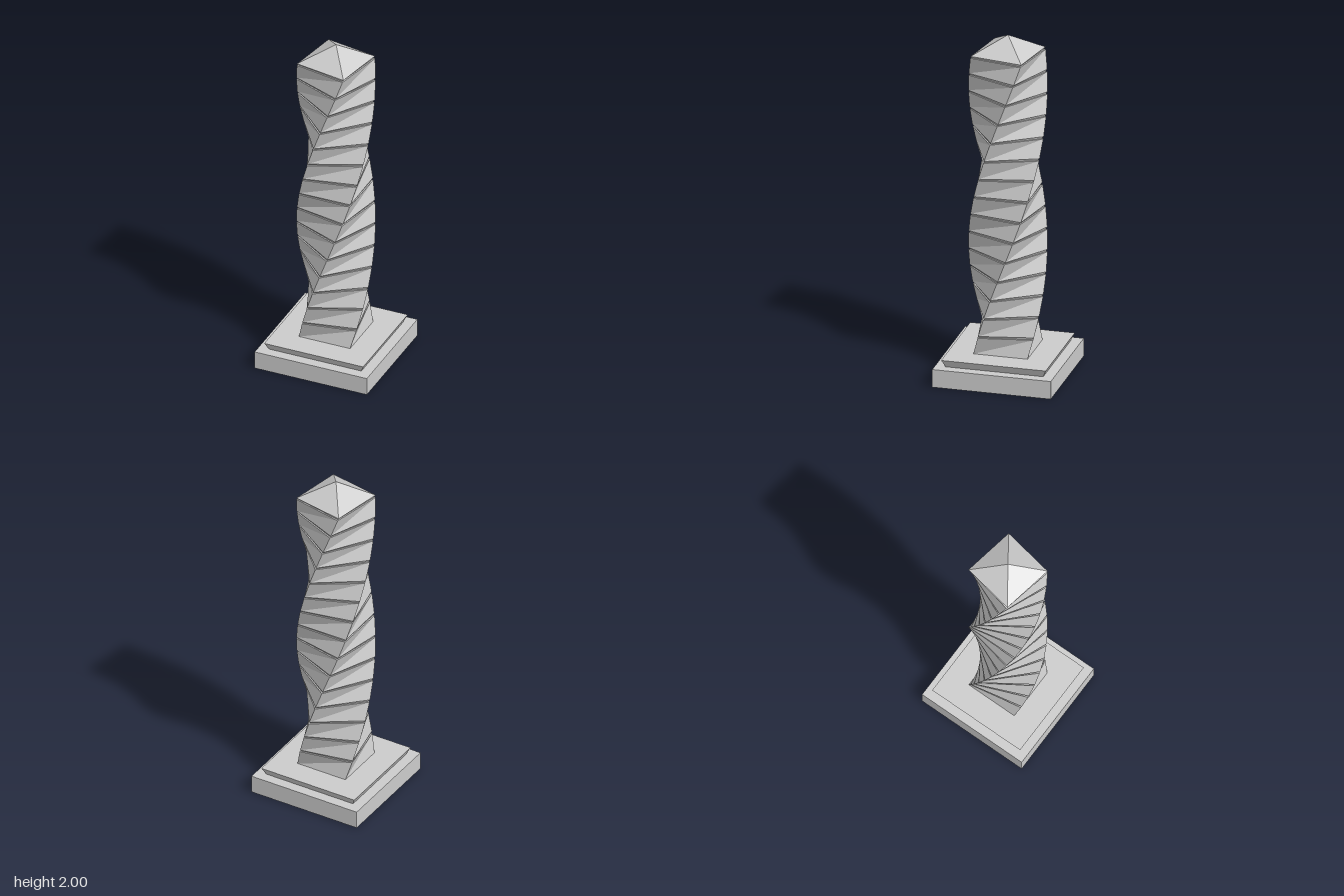
import * as THREE from 'three';

const GREY = new THREE.MeshStandardMaterial({ color: 0xcccccc, flatShading: true, side: THREE.DoubleSide });
const Y0 = 0.148, Y1 = 1.9;           // bottom and top of the twisted shaft
const TWIST = THREE.MathUtils.degToRad(170);
const STOREYS = 15, HALF = 0.155, GROOVE_HALF = 0.147, GROOVE = 0.013;

// Turn of the square section at a height
const twistAt = (y) => TWIST * THREE.MathUtils.clamp((y - Y0) / (Y1 - Y0), 0, 1);

// Open skin through square rings given as [half width, y]
function squareLoft(name, rings) {
  const pos = [], idx = [];
  for (const [half, y] of rings) {
    for (let k = 0; k < 4; k++) {
      const a = Math.PI / 4 + k * Math.PI / 2 + twistAt(y);
      const r = half * Math.SQRT2;
      pos.push(r * Math.sin(a), y, r * Math.cos(a));
    }
  }
  for (let i = 0; i < rings.length - 1; i++) {
    for (let k = 0; k < 4; k++) {
      const a = i * 4 + k, b = i * 4 + (k + 1) % 4, c = b + 4, d = a + 4;
      idx.push(a, b, c, a, c, d);
    }
  }
  const indexed = new THREE.BufferGeometry();
  indexed.setAttribute('position', new THREE.Float32BufferAttribute(pos, 3));
  indexed.setIndex(idx);
  const geo = indexed.toNonIndexed();
  geo.computeVertexNormals();
  const mesh = new THREE.Mesh(geo, GREY);
  mesh.name = name;
  return mesh;
}

export function createModel() {
  const group = new THREE.Group();
  group.name = 'twistedTower';

  // Hollow plinth, open underneath, with a flared upper step
  group.add(squareLoft('plinth', [[0.34, 0], [0.34, 0.105], [0.28, 0.105]]));
  group.add(squareLoft('plinthStep', [[0.28, 0.105], [0.3, Y0], [HALF, Y0]]));

  // Twisted shaft: each storey ends in a ledge and a thin groove
  const rings = [[HALF, Y0]];
  const step = (Y1 - Y0) / STOREYS;
  for (let i = 1; i <= STOREYS; i++) {
    const y = Y0 + i * step;
    rings.push([HALF, y - GROOVE], [GROOVE_HALF, y - GROOVE], [HALF, y]);
  }
  group.add(squareLoft('shaft', rings));

  // Pyramid roof, turned with the top of the shaft
  const roofHeight = 2 - Y1;
  const roof = new THREE.Mesh(
    new THREE.ConeGeometry(HALF * Math.SQRT2, roofHeight, 4, 1, true), GREY);
  roof.name = 'roof';
  roof.position.y = Y1 + roofHeight / 2;
  roof.rotation.y = Math.PI / 4 + TWIST;
  group.add(roof);

  return group;
}
